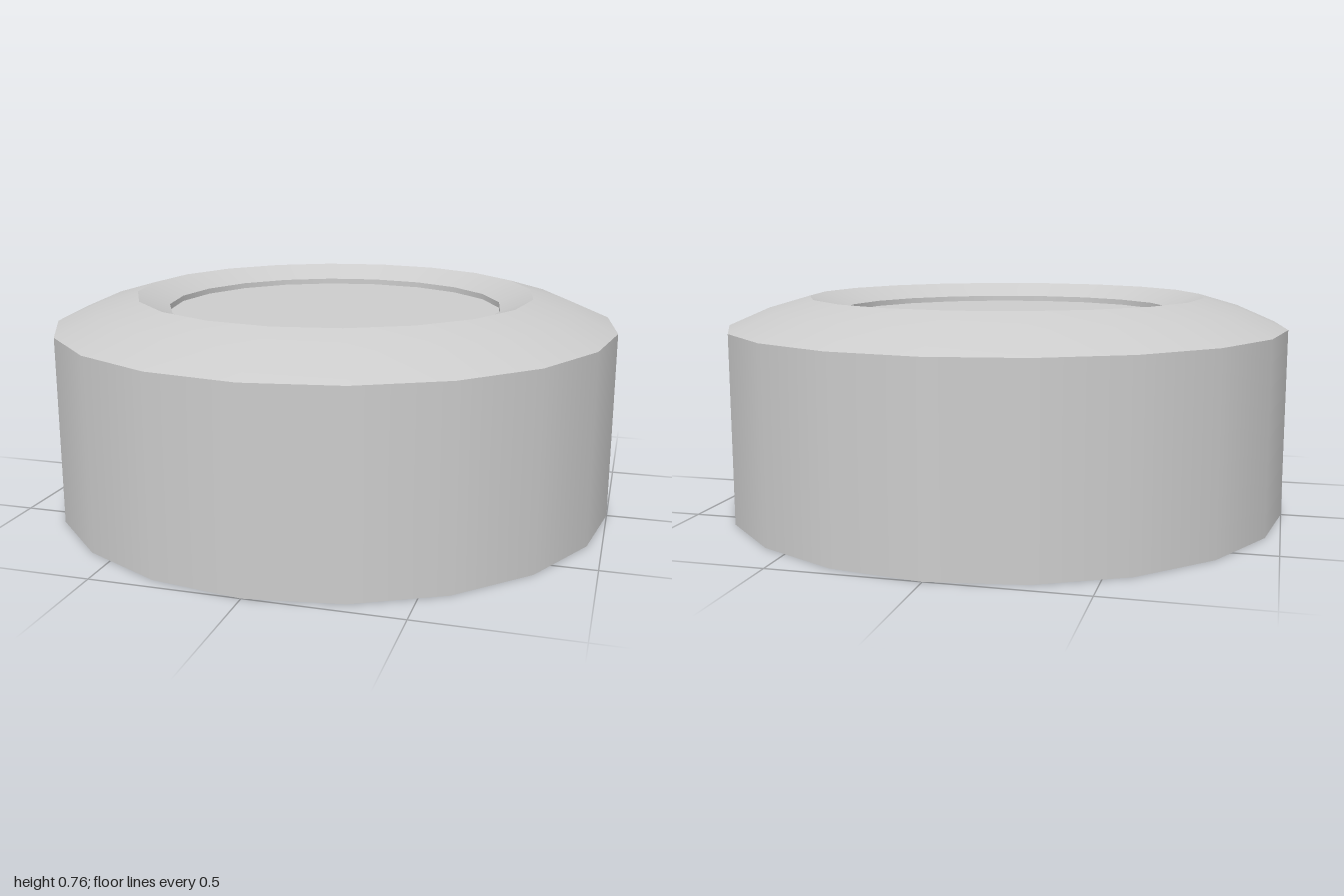
import * as THREE from 'three';

const SIDES = 20;

export function createModel() {
  const group = new THREE.Group();
  group.name = 'cap';
  const material = new THREE.MeshStandardMaterial({ color: 0xcccccc, side: THREE.DoubleSide });

  // Each band is its own lathe, so it is smooth around and creased at its rims
  const addBand = (name, profile) => {
    const points = profile.map(([r, y]) => new THREE.Vector2(r, y));
    const mesh = new THREE.Mesh(new THREE.LatheGeometry(points, SIDES), material);
    mesh.name = name;
    group.add(mesh);
  };

  // Open-bottomed shell, from the base up and in to the recessed centre
  addBand('sideWall', [[1, 0], [1, 0.655]]);
  addBand('shoulder', [[1, 0.655], [0.855, 0.718], [0.71, 0.76]]);
  addBand('innerSlope', [[0.71, 0.76], [0.597, 0.713]]);
  addBand('recessWall', [[0.597, 0.713], [0.597, 0.693]]);
  addBand('centreDisc', [[0.597, 0.693], [0, 0.693]]);

  return group;
}
